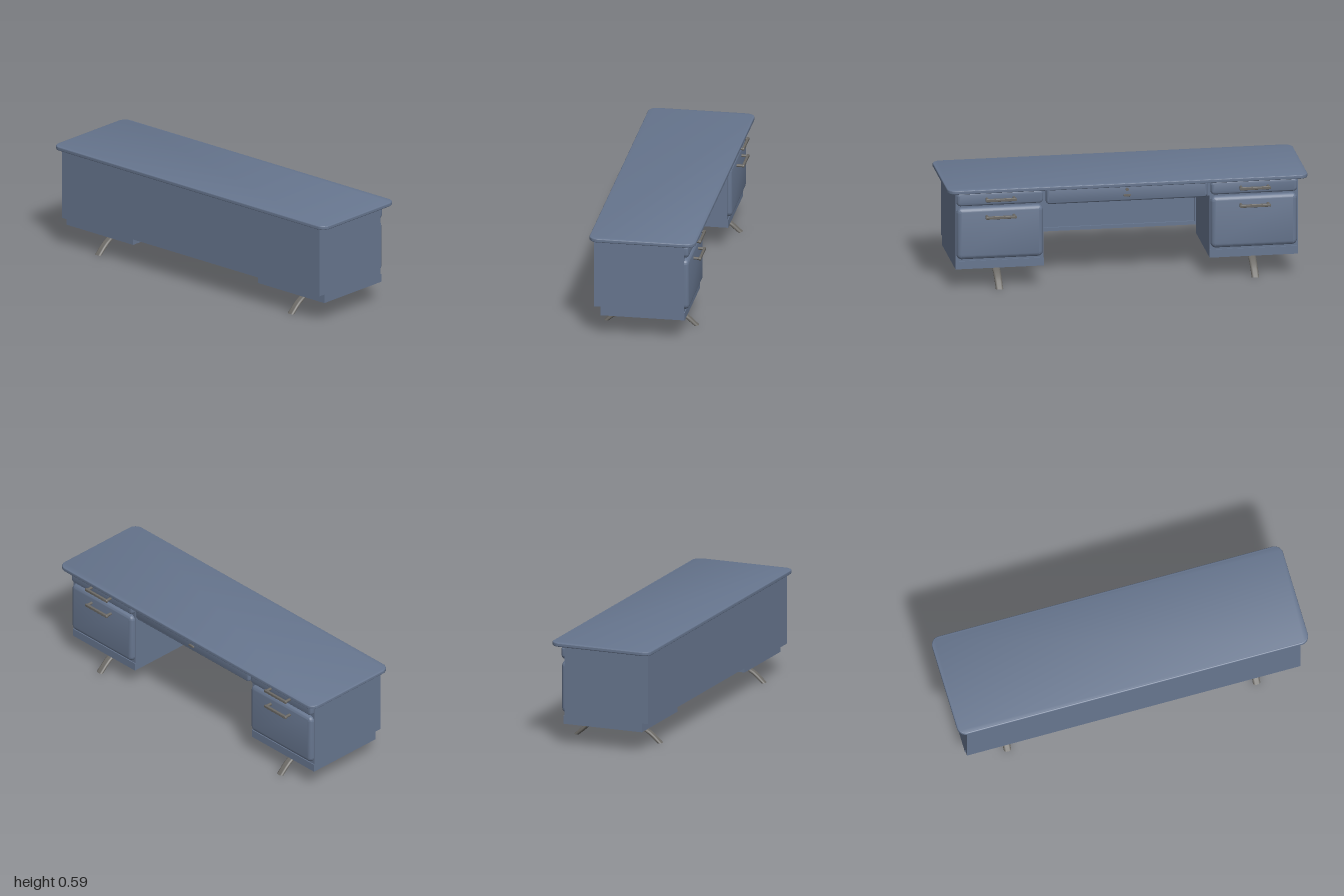
import * as THREE from 'three';
import { toCreasedNormals } from 'three/addons/utils/BufferGeometryUtils.js';

export function createModel() {
  const model = new THREE.Group();
  const paint = new THREE.MeshStandardMaterial({ color: 0x67768f });
  const metal = new THREE.MeshStandardMaterial({ color: 0x6b6965 });

  const add = (name, geometry, material, parent = model) => {
    const mesh = new THREE.Mesh(geometry, material);
    mesh.name = name;
    parent.add(mesh);
    return mesh;
  };

  // Box given by its limits on each axis
  const box = (name, x0, x1, y0, y1, z0, z1, parent = model) => {
    const mesh = add(name, new THREE.BoxGeometry(x1 - x0, y1 - y0, z1 - z0), paint, parent);
    mesh.position.set((x0 + x1) / 2, (y0 + y1) / 2, (z0 + z1) / 2);
    return mesh;
  };

  const roundedRect = (w, h, r) => {
    const s = new THREE.Shape();
    s.absarc(w / 2 - r, h / 2 - r, r, 0, Math.PI / 2);
    s.absarc(-w / 2 + r, h / 2 - r, r, Math.PI / 2, Math.PI);
    s.absarc(-w / 2 + r, -h / 2 + r, r, Math.PI, Math.PI * 1.5);
    s.absarc(w / 2 - r, -h / 2 + r, r, Math.PI * 1.5, Math.PI * 2);
    s.closePath();
    return s;
  };

  // Rounded slab, centred on its thickness, with softened rims
  const slab = (w, h, thickness, r, bevel) => {
    const g = new THREE.ExtrudeGeometry(roundedRect(w - 2 * bevel, h - 2 * bevel, r - bevel), {
      depth: thickness - 2 * bevel, bevelThickness: bevel, bevelSize: bevel,
      bevelSegments: 5, curveSegments: 8,
    });
    g.translate(0, 0, bevel - thickness / 2);
    return toCreasedNormals(g, 0.6);
  };

  // Drawer front with a rounded outer rim, its back half sunk into the body
  const drawerFront = (name, xFront, y0, y1, z0, z1, bevel, parent = model) => {
    const thickness = 0.052;
    const mesh = add(name, slab(z1 - z0, y1 - y0, thickness, bevel + 0.006, bevel).rotateY(Math.PI / 2), paint, parent);
    mesh.position.set(xFront - thickness / 2, (y0 + y1) / 2, (z0 + z1) / 2);
  };

  // Bar handle on two posts
  const handle = (y, z, parent) => {
    const group = new THREE.Group();
    group.name = 'drawerHandle';
    const bar = add('handleBar', slab(0.175, 0.017, 0.014, 0.008, 0.004).rotateY(Math.PI / 2), metal, group);
    bar.position.x = 0.288;
    for (const side of [-1, 1]) {
      const post = add('handlePost', new THREE.CylinderGeometry(0.008, 0.008, 0.042, 12).rotateZ(Math.PI / 2), metal, group);
      post.position.set(0.268, 0, side * 0.075);
    }
    group.position.set(0, y, z);
    parent.add(group);
  };

  // Arched leg: elliptical sections, thin at the apex and thicker at the feet
  const archLeg = () => {
    // half arch: x, y, half thickness
    const half = [[0, 0.119, 0.003], [0.06, 0.107, 0.005], [0.11, 0.094, 0.008], [0.155, 0.075, 0.010],
      [0.19, 0.055, 0.011], [0.215, 0.034, 0.012], [0.25, 0.0035, 0.013]];
    const rows = [...half.slice(1).reverse().map(([x, y, t]) => [-x, y, t]), ...half];
    const sides = 14, positions = [], index = [];
    rows.forEach(([x, y, t], i) => {
      const a = rows[Math.max(i - 1, 0)], b = rows[Math.min(i + 1, rows.length - 1)];
      const len = Math.hypot(b[0] - a[0], b[1] - a[1]);
      let nx = -(b[1] - a[1]) / len, ny = (b[0] - a[0]) / len;
      // feet are cut almost level
      if (i === 0) { nx = -0.99; ny = 0.14; }
      if (i === rows.length - 1) { nx = 0.99; ny = 0.14; }
      for (let k = 0; k < sides; k++) {
        const q = (k / sides) * Math.PI * 2;
        const d = Math.cos(q) * t;
        positions.push(x + nx * d, y + ny * d, Math.sin(q) * 0.021);
      }
    });
    for (let i = 0; i < rows.length - 1; i++) {
      for (let k = 0; k < sides; k++) {
        const a = i * sides + k, b = i * sides + (k + 1) % sides;
        index.push(a, b, a + sides, b, b + sides, a + sides);
      }
    }
    const last = (rows.length - 1) * sides;
    for (let k = 1; k < sides - 1; k++) {
      index.push(0, k + 1, k, last, last + k, last + k + 1);
    }
    const g = new THREE.BufferGeometry();
    g.setAttribute('position', new THREE.Float32BufferAttribute(positions, 3));
    g.setIndex(index);
    return toCreasedNormals(g, 0.9);
  };

  // Desk top
  const top = add('deskTop', slab(0.592, 2, 0.023, 0.05, 0.007).rotateX(-Math.PI / 2), paint);
  top.position.set(-0.001, 0.5765, 0);

  // Back panel with a raised frame inside the kneehole
  box('backPanel', -0.273, -0.247, 0.17, 0.566, -0.95, 0.95);
  box('backFrameRail', -0.248, -0.237, 0.17, 0.19, -0.46, 0.46);
  for (const s of [-1, 1]) box('backFrameStile', -0.248, -0.237, 0.17, 0.5, s * 0.455 - 0.005, s * 0.455 + 0.005);

  // Centre drawer over the kneehole
  box('centreDrawerBody', -0.25, 0.22, 0.472, 0.566, -0.462, 0.462);
  drawerFront('centreDrawerFront', 0.244, 0.47, 0.566, -0.448, 0.448, 0.014);
  const lock = add('drawerLock', new THREE.CylinderGeometry(0.009, 0.009, 0.01, 16).rotateZ(Math.PI / 2), metal);
  lock.position.set(0.247, 0.538, 0);
  const pull = add('drawerPull', slab(0.04, 0.012, 0.012, 0.006, 0.002).rotateY(Math.PI / 2), metal);
  pull.position.set(0.247, 0.505, 0);

  // Two pedestals, each with two drawers and an arched leg
  for (const s of [-1, 1]) {
    const pedestal = new THREE.Group();
    pedestal.name = 'pedestal';
    model.add(pedestal);
    const zc = s * 0.705;
    box('pedestalBody', -0.26, 0.227, 0.17, 0.566, zc - 0.245, zc + 0.245, pedestal);
    box('plinth', -0.235, 0.232, 0.12, 0.165, zc - 0.245, zc + 0.245, pedestal);
    box('plinthNeck', -0.235, 0.227, 0.16, 0.175, zc - 0.245, zc + 0.245, pedestal);
    drawerFront('upperDrawerFront', 0.252, 0.483, 0.56, zc - 0.24, zc + 0.24, 0.016, pedestal);
    drawerFront('lowerDrawerFront', 0.252, 0.177, 0.472, zc - 0.24, zc + 0.24, 0.024, pedestal);
    handle(0.523, zc, pedestal);
    handle(0.423, zc, pedestal);
    const leg = add('archedLeg', archLeg(), metal, pedestal);
    leg.position.set(0.008, 0, s * 0.71);
  }
  return model;
}
